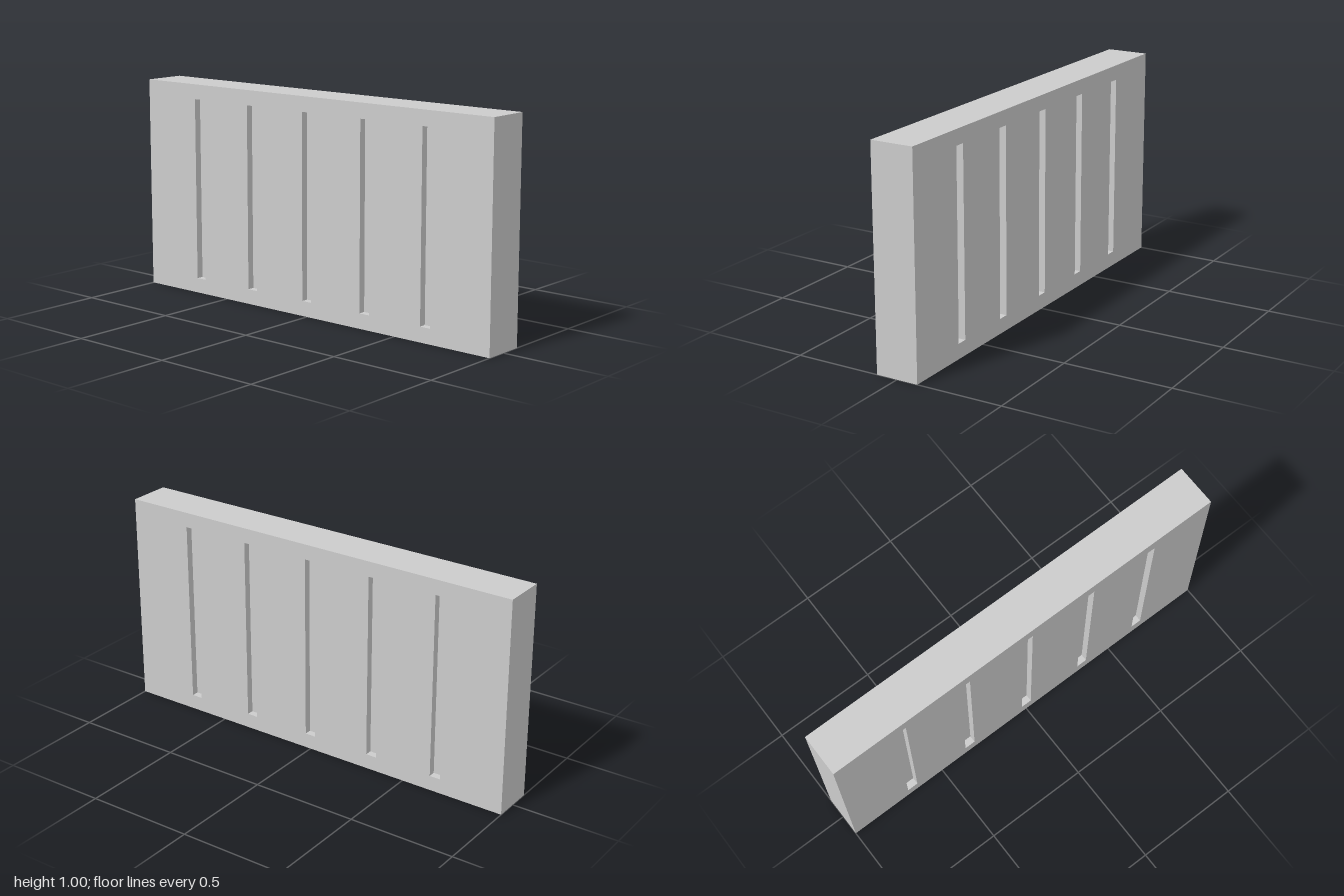
import * as THREE from 'three';

const W = 2, H = 1, D = 0.2;
const SLOT_W = 0.053, SLOT_H = 0.86, SLOT_D = 0.033, SLOTS = 5;
const slotX = Array.from({ length: SLOTS }, (_, i) => -W / 2 + (W * (i + 1)) / (SLOTS + 1));

// Box with only the chosen faces (0..5 = +x -x +y -y +z -z), optionally turned inside out
function openBox(w, h, d, faces, inward = false) {
  const geo = new THREE.BoxGeometry(w, h, d);
  const all = Array.from(geo.index.array);
  const index = faces.flatMap((f) => all.slice(f * 6, f * 6 + 6));
  if (inward) {
    index.reverse();
    const n = geo.attributes.normal;
    for (let i = 0; i < n.count; i++) n.setXYZ(i, -n.getX(i), -n.getY(i), -n.getZ(i));
  }
  geo.setIndex(index);
  geo.clearGroups();
  return geo;
}

function rect(target, cx, w, h) {
  target.moveTo(cx - w / 2, -h / 2);
  target.lineTo(cx + w / 2, -h / 2);
  target.lineTo(cx + w / 2, h / 2);
  target.lineTo(cx - w / 2, h / 2);
  target.closePath();
  return target;
}

export function createModel() {
  const group = new THREE.Group();
  group.name = 'slottedPanel';
  const mat = new THREE.MeshStandardMaterial({ color: 0xcccccc });
  const add = (parent, name, geo, x, y, z) => {
    const mesh = new THREE.Mesh(geo, mat);
    mesh.name = name;
    mesh.position.set(x, y, z);
    parent.add(mesh);
  };

  // Ends, top and bottom of the slab
  add(group, 'panelEdges', openBox(W, H, D, [0, 1, 2, 3]), 0, H / 2, 0);

  // Broad face with its recessed slots, repeated on the back
  const outline = rect(new THREE.Shape(), 0, W, H);
  for (const x of slotX) outline.holes.push(rect(new THREE.Path(), x, SLOT_W, SLOT_H));
  const faceGeo = new THREE.ShapeGeometry(outline);
  const slotGeo = openBox(SLOT_W, SLOT_H, SLOT_D, [0, 1, 2, 3, 5], true);

  for (const side of ['front', 'back']) {
    const half = new THREE.Group();
    half.name = side + 'Side';
    half.rotation.y = side === 'front' ? 0 : Math.PI;
    add(half, side + 'Face', faceGeo, 0, H / 2, D / 2);
    slotX.forEach((x, i) => add(half, side + 'Slot' + (i + 1), slotGeo, x, H / 2, (D - SLOT_D) / 2));
    group.add(half);
  }
  return group;
}
